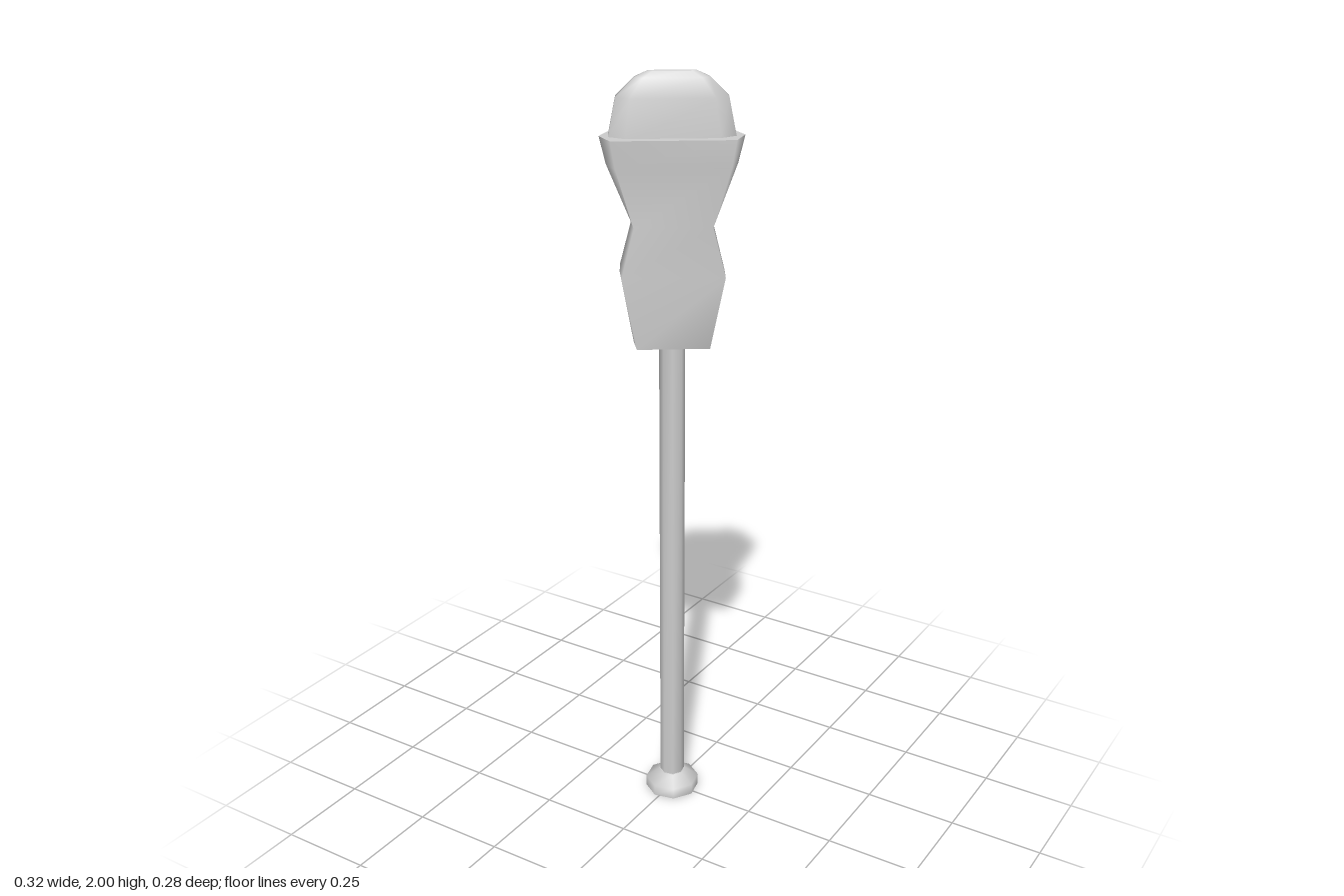
import * as THREE from 'three';

const grey = new THREE.MeshStandardMaterial({ color: 0xcccccc });

// Smooth skin over stacked rings of [x, z] points, closed by flat caps
function loft(levels, name) {
  const pos = [], idx = [];
  const n = levels[0].ring.length;
  const addRing = ({ y, ring }) => {
    const start = pos.length / 3;
    ring.forEach(([x, z]) => pos.push(x, y, z));
    return start;
  };
  const starts = levels.map(addRing);
  for (let j = 0; j < levels.length - 1; j++) {
    for (let i = 0; i < n; i++) {
      const k = (i + 1) % n, a = starts[j], b = starts[j + 1];
      idx.push(a + i, a + k, b + k, a + i, b + k, b + i);
    }
  }
  const top = addRing(levels[levels.length - 1]);
  const bottom = addRing(levels[0]);
  for (let i = 1; i < n - 1; i++) {
    idx.push(top, top + i, top + i + 1);
    idx.push(bottom, bottom + i + 1, bottom + i);
  }
  const geo = new THREE.BufferGeometry();
  geo.setAttribute('position', new THREE.Float32BufferAttribute(pos, 3));
  geo.setIndex(idx);
  geo.computeVertexNormals();
  const mesh = new THREE.Mesh(geo, grey);
  mesh.name = name;
  return mesh;
}

// Hexagon with pointed ends: tip reach, corner reach, half depth
const hexagon = (tip, a, b) => [[tip, 0], [a, -b], [-a, -b], [-tip, 0], [-a, b], [a, b]];

// Long octagon: end reach and half width, side reach and half depth
const octagon = (e, w, s, d) =>
  [[e, w], [e, -w], [s, -d], [-s, -d], [-e, -w], [-e, w], [-s, d], [s, d]];

// Eight-sided turned part
function turned(profile, name) {
  const ring = (r) => Array.from({ length: 8 }, (_, i) => {
    const t = (i / 8) * Math.PI * 2;
    return [r * Math.cos(t), -r * Math.sin(t)];
  });
  return loft(profile.map(([r, y]) => ({ y, ring: ring(r) })), name);
}

export function createModel() {
  const model = new THREE.Group();
  model.name = 'parkingMeter';

  // Post and its foot
  const meter = new THREE.Group();
  meter.name = 'meter';
  meter.add(turned([[0.073, 0], [0.073, 0.03], [0.036, 0.055]], 'foot'));
  meter.add(turned([[0.033, 0.04], [0.033, 1.35]], 'post'));

  // Waisted housing: y, tip, corner, half depth
  const housing = [
    [1.33, 0.097, 0.091, 0.067],
    [1.513, 0.13, 0.127, 0.074],
    [1.635, 0.1, 0.096, 0.063],
    [1.78, 0.16, 0.139, 0.066],
    [1.847, 0.176, 0.15, 0.066],
  ];
  meter.add(loft(housing.map(([y, t, a, b]) => ({ y, ring: hexagon(t, a, b) })), 'housing'));

  // Domed window on top: y, end reach, end half width, side reach, half depth
  const dome = [
    [1.84, 0.155, 0.015, 0.115, 0.041],
    [1.94, 0.135, 0.012, 0.102, 0.034],
    [1.985, 0.09, 0.008, 0.07, 0.019],
    [2.0, 0.058, 0.003, 0.045, 0.006],
  ];
  meter.add(loft(dome.map(([y, ...s]) => ({ y, ring: octagon(...s) })), 'windowDome'));

  // The meter stands turned on its post
  meter.rotation.y = THREE.MathUtils.degToRad(35);
  model.add(meter);
  return model;
}
